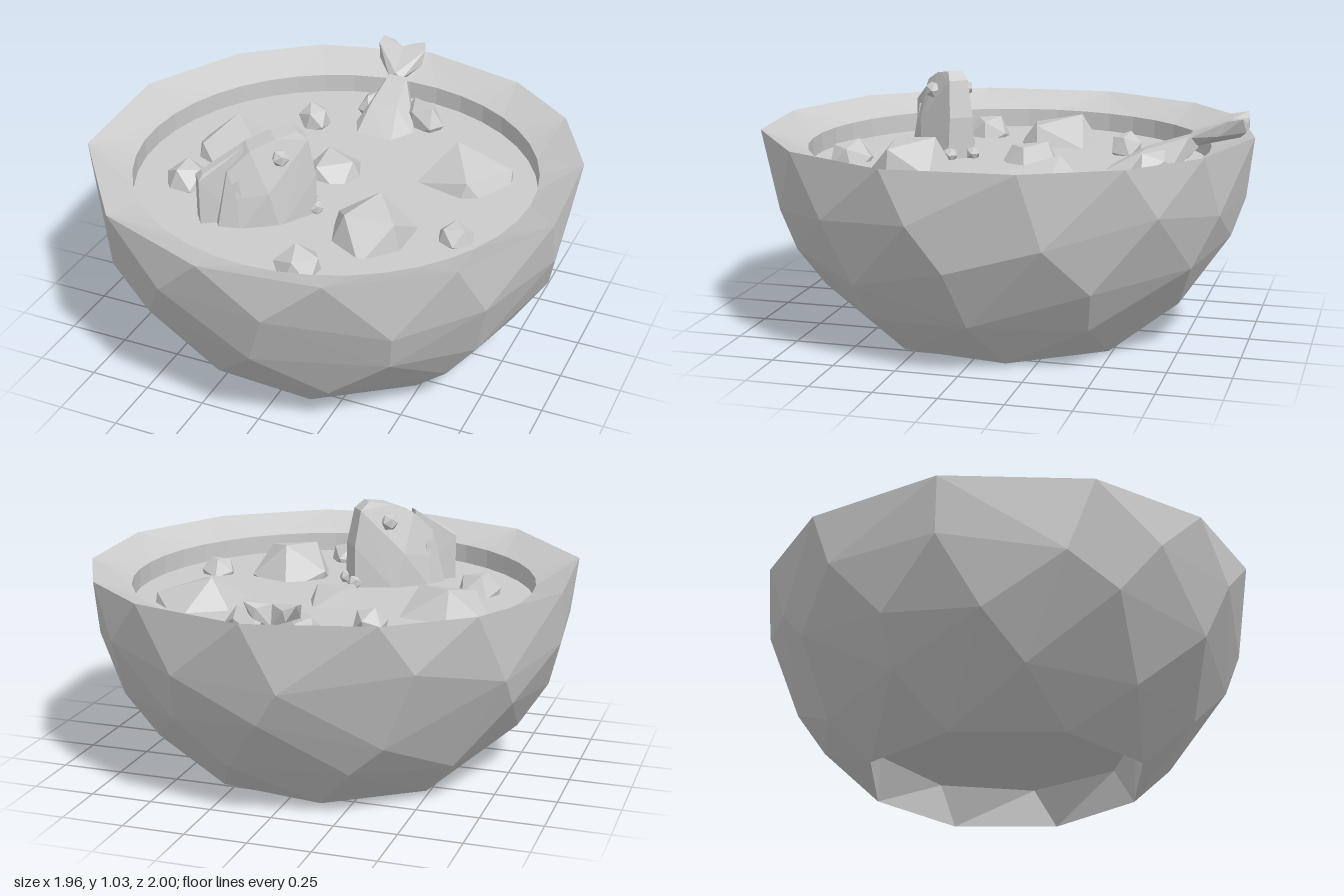
import * as THREE from 'three';
import { ConvexGeometry } from 'three/addons/geometries/ConvexGeometry.js';

const grey = new THREE.MeshStandardMaterial({ color: 0xcccccc, flatShading: true, side: THREE.DoubleSide });
const V = (x, y, z) => new THREE.Vector3(x, y, z);

function add(parent, name, geometry, x = 0, y = 0, z = 0) {
  const mesh = new THREE.Mesh(geometry, grey);
  mesh.name = name;
  mesh.position.set(x, y, z);
  parent.add(mesh);
  return mesh;
}

// Horizontal ring of evenly spaced points
function ring(radius, y, count, phase = 0) {
  return Array.from({ length: count }, (_, i) => {
    const a = (i + phase) / count * Math.PI * 2;
    return V(Math.sin(a) * radius, y, Math.cos(a) * radius);
  });
}

// Uneven ring on the bowl's sphere (radius 1, centre at the rim)
const RIM = 0.83;
function sphereRing(y, count, phase, wobble) {
  return Array.from({ length: count }, (_, i) => {
    const h = y + wobble * Math.sin(i * 2.4 + phase * 5);
    const r = Math.sqrt(1 - (RIM - h) ** 2);
    const a = (i + phase + wobble * 2 * Math.sin(i * 1.7)) / count * Math.PI * 2;
    return V(Math.sin(a) * r, h, Math.cos(a) * r);
  });
}

// Faceted wall around the points, without its flat top and bottom
function wall(points) {
  const p = new ConvexGeometry(points).attributes.position;
  const kept = [], t = new THREE.Triangle(), n = V(0, 0, 0);
  for (let i = 0; i < p.count; i += 3) {
    t.setFromAttributeAndIndices(p, i, i + 1, i + 2);
    t.getNormal(n);
    if (Math.abs(n.y) < 0.985) kept.push(t.a.clone(), t.b.clone(), t.c.clone());
  }
  const g = new THREE.BufferGeometry().setFromPoints(kept);
  g.computeVertexNormals();
  return g;
}

// Convex body from [along, height, half width] points, mirrored across its length
function body(profile) {
  return new ConvexGeometry(profile.flatMap(([u, y, w]) => [V(u, y, w), V(u, y, -w)]));
}

export function createModel() {
  const model = new THREE.Group();
  model.name = 'fishSoupBowl';

  // Bowl: outer wall, sloping lip, inner wall and recessed foot
  const bowl = new THREE.Group();
  bowl.name = 'bowl';
  model.add(bowl);
  const rim = [[0.02, -1], [0.48, -0.87], [0.77, -0.63], [0.95, -0.28], [0.98, 0.22], [0.76, 0.65], [0.36, 0.94],
    [-0.11, 0.995], [-0.58, 0.82], [-0.94, 0.36], [-0.98, -0.21], [-0.76, -0.64], [-0.46, -0.88]]
    .map(([x, z]) => V(x, RIM, z));
  const foot = ring(0.57, 0, 8, 0.3);
  add(bowl, 'outerWall', wall([...rim, ...sphereRing(0.59, 14, 0.3, 0.05),
    ...sphereRing(0.38, 12, 0.1, 0.06), ...sphereRing(0.18, 10, 0.6, 0.02), ...foot]));
  add(bowl, 'lip', wall([...rim, ...ring(0.82, 0.76, 40)]));
  add(bowl, 'innerWall', new THREE.CylinderGeometry(0.82, 0.82, 0.08, 40, 1, true), 0, 0.72, 0);
  add(bowl, 'footRecess', wall([...foot, ...ring(0.53, 0.16, 8, 0.5)]));
  add(bowl, 'footFloor', new THREE.CircleGeometry(0.53, 8, Math.PI / 8).rotateX(Math.PI / 2), 0, 0.16, 0);

  add(model, 'soup', new THREE.CircleGeometry(0.82, 40).rotateX(-Math.PI / 2), 0, 0.68, 0);

  // Floating chunks: x, z, radius, centre height, turn, stretch in x and z
  const chunks = [[-0.49, -0.09, 0.215, 0.6, 0.3, 1, 1.04], [0.48, -0.25, 0.225, 0.58, 1.0, 1.05, 1.08],
    [-0.04, -0.08, 0.145, 0.63, 0.6, 1, 1], [0.29, 0.32, 0.195, 0.65, 0.1, 0.95, 1],
    [-0.29, -0.43, 0.078, 0.7, 0.9, 0.9, 1], [-0.55, 0.24, 0.098, 0.68, 0.5, 1, 1],
    [0.6, 0.22, 0.078, 0.68, 0.2, 1, 0.95], [0.13, 0.64, 0.102, 0.67, 0.8, 1, 1]];
  chunks.forEach(([x, z, r, y, turn, sx, sz], i) => {
    const chunk = add(model, 'chunk' + (i + 1), new THREE.IcosahedronGeometry(r, 0), x, y, z);
    chunk.rotation.set(0.55 + 0.12 * Math.sin(i * 2), turn, 0.1 * Math.cos(i * 3), 'YXZ');
    chunk.scale.set(sx, 1, sz);
  });

  // Fish head rising from the soup, snout along local +x
  const head = new THREE.Group();
  head.name = 'fishHead';
  head.position.set(-0.18, 0, 0.34);
  head.rotation.y = 0.644;
  model.add(head);
  add(head, 'headBody', body([[-0.18, 0.66, 0.075], [-0.13, 0.9, 0.045], [-0.04, 0.98, 0.05], [0.06, 1.02, 0.045],
    [0.15, 1.035, 0.03], [0.19, 1.0, 0.04], [0.22, 0.85, 0.05], [0.22, 0.66, 0.06],
    [0.06, 0.66, 0.12], [0.07, 0.92, 0.075], [0.02, 0.82, 0.11], [-0.1, 0.8, 0.085], [-0.1, 0.66, 0.11]]));
  add(head, 'backFin', body([[-0.24, 0.66, 0.04], [-0.24, 0.865, 0.035], [-0.22, 0.89, 0.02], [-0.15, 0.925, 0.03],
    [-0.06, 0.985, 0.02], [-0.06, 0.66, 0.045]]));
  for (const s of [-1, 1]) {
    add(head, s > 0 ? 'leftEye' : 'rightEye', new THREE.IcosahedronGeometry(0.037, 0), 0.075, 0.95, s * 0.07);
    // Folded gill edge behind the cheek
    const gill = [[-0.14, 0.66, 0.085], [-0.14, 0.84, 0.06], [-0.09, 0.87, 0.075], [-0.07, 0.66, 0.115],
      [-0.1, 0.66, 0.04], [-0.1, 0.86, 0.04]];
    add(head, 'gill', new ConvexGeometry(gill.map(([x, y, z]) => V(x, y, s * z))));
    add(head, 'chinFin', new THREE.IcosahedronGeometry(0.032, 0), 0.22, 0.7, s * 0.05);
  }

  // Fish tail leaning back over the rim
  const tail = new THREE.Group();
  tail.name = 'fishTail';
  tail.position.set(-0.01, 0, 0);
  model.add(tail);
  const mound = [[-0.08, 0.66, -0.39], [0.09, 0.66, -0.38], [0.16, 0.66, -0.5], [0.1, 0.66, -0.66], [-0.1, 0.66, -0.67],
    [-0.13, 0.66, -0.5], [0.05, 0.76, -0.56], [-0.07, 0.76, -0.56], [0.02, 0.82, -0.74], [-0.06, 0.82, -0.74],
    [-0.02, 0.77, -0.77]];
  add(tail, 'tailBody', new ConvexGeometry(mound.map(p => V(...p))));
  for (const s of [-1, 1]) {
    const lobe = [[0, 0.77, -0.74], [s * 0.03, 0.81, -0.74], [0, 0.83, -0.74], [0, 0.81, -0.93], [0, 0.885, -0.9],
      [s * 0.1, 0.83, -0.86], [s * 0.11, 0.89, -0.89], [s * 0.1, 0.9, -0.95], [s * 0.05, 0.88, -0.96],
      [s * 0.06, 0.84, -0.96]];
    add(tail, 'tailLobe', new ConvexGeometry(lobe.map(([x, y, z]) => V(x - 0.03 + 0.2 * (z + 0.74), y, z))));
  }
  const fin = (name, x, z, r, turn) => {
    const m = add(tail, name, new THREE.IcosahedronGeometry(r, 0), x, 0.7, z);
    m.scale.set(1.2, 0.9, 0.7);
    m.rotation.y = turn;
  };
  fin('leftFin', 0.15, -0.62, 0.1, -0.6);
  fin('rightFin', -0.09, -0.66, 0.08, 1.2);

  return model;
}
